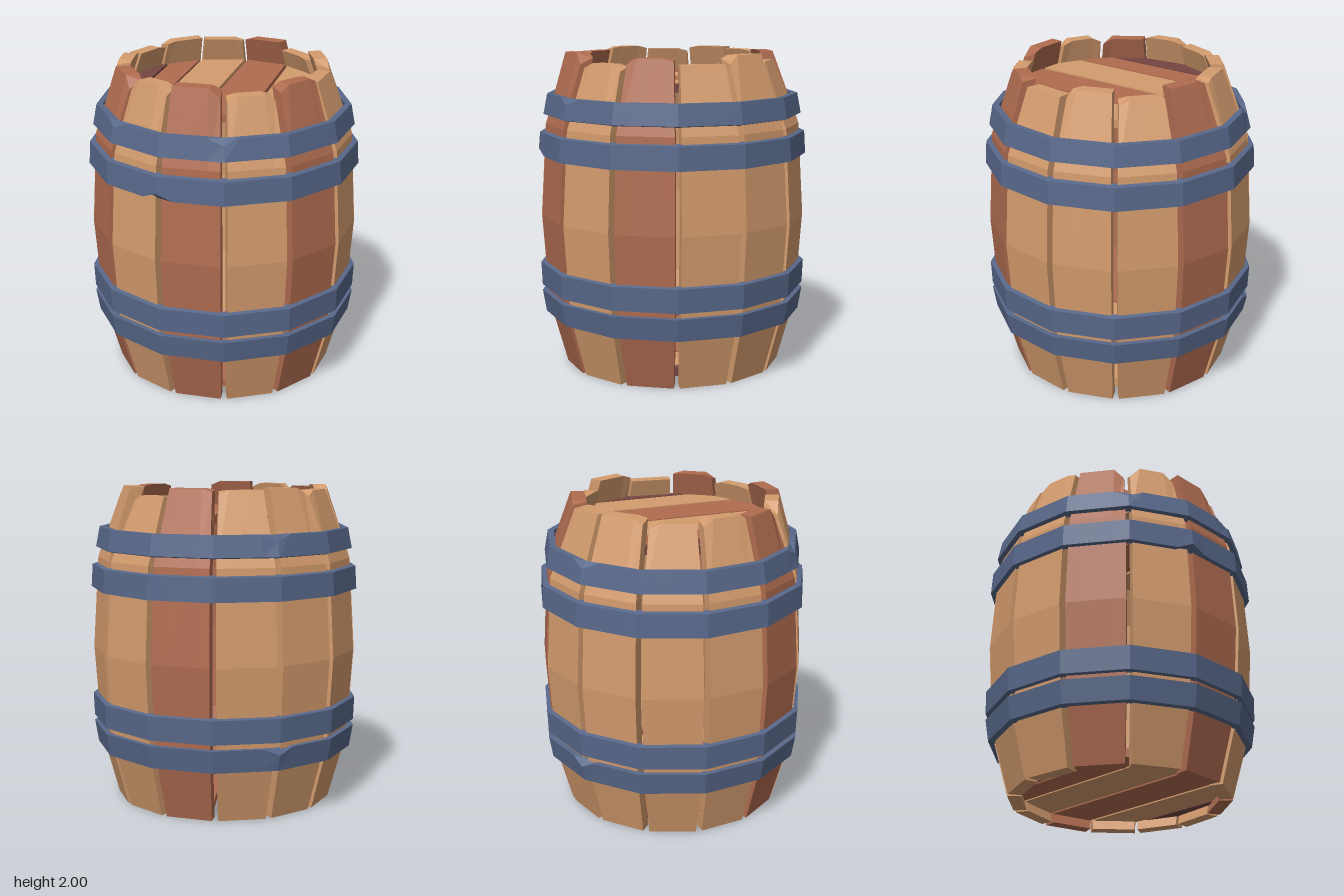
import * as THREE from 'three';

const SIDES = 13;
const STEP = (Math.PI * 2) / SIDES;
const TAN = Math.tan(STEP / 2);

const paint = (name, color) => {
  const m = new THREE.MeshStandardMaterial({ color });
  m.name = name;
  return m;
};

// Flat-shaded geometry from a list of four-cornered faces
function fromQuads(quads) {
  const pos = [];
  for (const [a, b, c, d] of quads) pos.push(...a, ...b, ...c, ...a, ...c, ...d);
  const g = new THREE.BufferGeometry();
  g.setAttribute('position', new THREE.Float32BufferAttribute(pos, 3));
  g.computeVertexNormals();
  return g;
}

// Bulging board: four columns wide, five rows high, with clipped top corners
function staveGeometry(height, cutA, cutB, topRadius) {
  const profile = [[0, 0.675], [0.4, 0.782], [0.97, 0.82], [1.55, 0.785], [height, topRadius]];
  const thick = 0.085;
  const rows = profile.map(([y, r], k) => {
    const top = k === profile.length - 1;
    const wo = r * TAN - 0.02, wi = (r - thick) * TAN - 0.01;
    const cols = [-1, -0.55, 0.55, 1];
    const drop = [cutA, 0, 0, cutB].map((c) => (top ? c : 0));
    const outer = cols.map((c, i) => [c * wo, y - drop[i], r]);
    const inner = cols.map((c, i) => [c * wi, y - drop[i] * 0.4, r - thick]);
    return [...outer, ...inner.reverse()];
  });
  const quads = [];
  for (let k = 0; k < rows.length - 1; k++) {
    for (let j = 0; j < 8; j++) {
      const n = (j + 1) % 8;
      quads.push([rows[k][j], rows[k][n], rows[k + 1][n], rows[k + 1][j]]);
    }
  }
  const top = rows[rows.length - 1], base = rows[0];
  for (let i = 0; i < 3; i++) {
    quads.push([top[i], top[i + 1], top[6 - i], top[7 - i]]);
    quads.push([base[7 - i], base[6 - i], base[i + 1], base[i]]);
  }
  return fromQuads(quads);
}

// Thirteen-sided band; section runs bottom inner, bottom outer, top outer, top inner.
// dents: [corner number, section point, vertical shift]
function hoopGeometry(section, dents) {
  const columns = [];
  for (let k = 0; k < SIDES; k++) {
    const corner = (i) => [Math.sin((i + 0.5) * STEP), Math.cos((i + 0.5) * STEP)];
    const [here, before, after] = [corner(k), corner(k - 1), corner(k + 1)];
    const mix = (other) => here.map((v, i) => v + (other[i] - v) * 0.25);
    [mix(before), here, mix(after)].forEach(([x, z], c) => {
      columns.push(section.map(([r, y], s) => {
        const dent = c === 1 && dents.find((d) => d[0] === k && d[1] === s);
        return [x * r, y + (dent ? dent[2] : 0), z * r];
      }));
    });
  }
  const quads = [];
  columns.forEach((a, i) => {
    const b = columns[(i + 1) % columns.length];
    for (let s = 0; s < 4; s++) {
      const n = (s + 1) % 4;
      quads.push([a[s], b[s], b[n], a[n]]);
    }
  });
  return fromQuads(quads);
}

// Head board cut to the round outline between two x positions
function headBoardGeometry(x0, x1) {
  const R = 0.635, n = 4;
  const shape = new THREE.Shape();
  const xs = Array.from({ length: n + 1 }, (_, i) => x0 + ((x1 - x0) * i) / n);
  const half = (x) => Math.sqrt(Math.max(R * R - x * x, 0));
  xs.forEach((x, i) => (i ? shape.lineTo(x, -half(x)) : shape.moveTo(x, -half(x))));
  xs.reverse().forEach((x) => shape.lineTo(x, half(x)));
  shape.closePath();
  return new THREE.ExtrudeGeometry(shape, { depth: 0.05, bevelEnabled: false }).rotateX(-Math.PI / 2);
}

export function createModel() {
  const model = new THREE.Group();
  model.name = 'barrel';
  const tan = paint('light wood', 0xd39b6d);
  const red = paint('red wood', 0xb06c50);
  const dark = paint('dark wood', 0x744541);
  const iron = paint('blue iron', 0x58688a);

  const add = (parent, name, geometry, material) => {
    const mesh = new THREE.Mesh(geometry, material);
    mesh.name = name;
    parent.add(mesh);
    return mesh;
  };

  // Staves, from the front round towards +x: height, corner cuts, wood
  const staves = new THREE.Group();
  staves.name = 'staves';
  model.add(staves);
  [
    [2.0, 0, 0.06, red], [1.95, 0.03, 0.04, tan], [1.99, 0.04, 0.02, red], [1.95, 0, 0, tan],
    [2.0, 0.05, 0, tan], [1.95, 0.03, 0, tan], [2.0, 0, 0.02, red], [1.99, 0.02, 0, tan],
    [2.0, 0, 0.03, tan], [1.98, 0.03, 0, tan], [2.0, 0.04, 0.02, tan], [1.98, 0, 0.07, red],
    [1.99, 0.07, 0.06, tan],
  ].forEach(([height, cutA, cutB, wood], k) => {
    const topRadius = 0.64 + 0.02 * Math.cos(k * STEP);
    add(staves, 'stave', staveGeometry(height, cutA, cutB, topRadius), wood).rotation.y = k * STEP;
  });

  // Top and bottom heads made of parallel boards
  for (const [name, y] of [['topHead', 1.79], ['bottomHead', 0.06]]) {
    const head = new THREE.Group();
    head.name = name;
    head.position.y = y;
    model.add(head);
    [
      [-0.62, -0.48, dark], [-0.465, -0.3, red], [-0.285, -0.01, tan],
      [0.01, 0.28, red], [0.3, 0.525, tan], [0.54, 0.62, dark],
    ].forEach(([x0, x1, wood]) => add(head, 'headBoard', headBoardGeometry(x0, x1), wood));
  }

  // Iron hoops, bottom to top, with a few dented corners
  const hoops = new THREE.Group();
  hoops.name = 'hoops';
  model.add(hoops);
  [
    [[[0.775, 0.33], [0.822, 0.335], [0.845, 0.475], [0.8, 0.475]], [[7, 2, -0.04]]],
    [[[0.8, 0.51], [0.845, 0.512], [0.851, 0.66], [0.81, 0.67]], []],
    [[[0.805, 1.355], [0.851, 1.357], [0.842, 1.5], [0.795, 1.51]], [[12, 1, 0.04]]],
    [[[0.77, 1.6], [0.818, 1.612], [0.793, 1.74], [0.753, 1.74]],
      [[0, 2, -0.04], [11, 2, -0.04], [7, 2, -0.04]]],
  ].forEach(([section, dents]) => add(hoops, 'hoop', hoopGeometry(section, dents), iron));

  return model;
}
